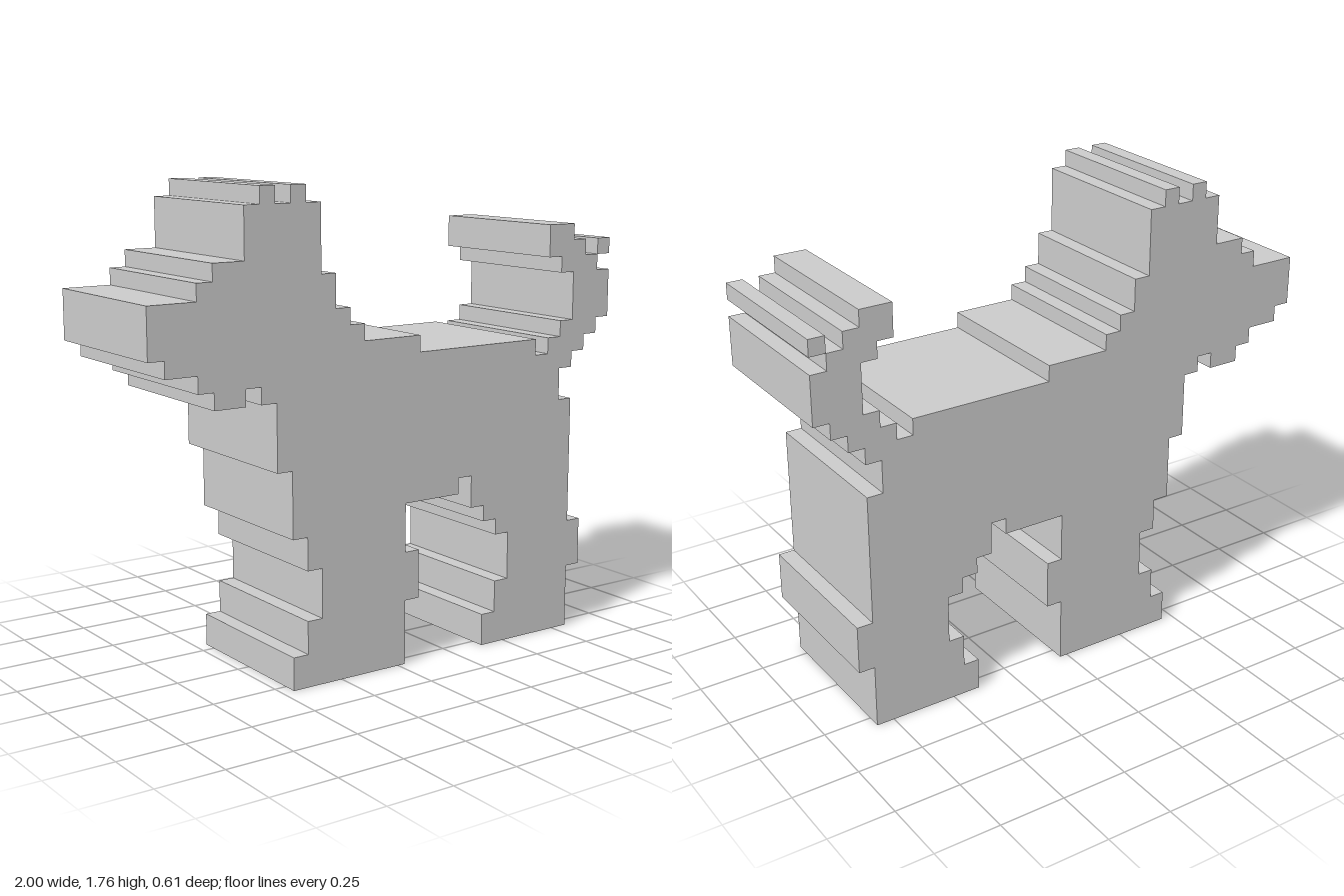
import * as THREE from 'three';

const CELL = 2 / 33;   // the figure is 33 cells long
const DEPTH = 10;      // and 10 cells thick

// Stepped side outline: each run alternates "go to row, go to column"
const START = [9, 0];
const RUNS = {
  frontLegAndChest: [2, 10, 4, 11, 7, 10, 9, 9, 13, 8, 17, 7],
  jawAndMuzzle: [18, 6, 17, 4, 18, 3, 19, 1, 20, 0, 23, 3, 24, 4, 25, 6],
  crownAndEars: [28, 7, 29, 8, 28, 9, 29, 10, 28, 11],
  neckAndBack: [24, 12, 22, 13, 21, 14, 20, 18, 19, 27],
  tailInside: [18, 28, 19, 29, 20, 30, 23, 29, 24, 28, 26, 30, 25, 31, 24, 32, 23, 33],
  tailOutside: [20, 32, 19, 31, 18, 30, 17, 29],
  hindLegBack: [15, 30, 7, 31, 4, 30, 0, 23],
  hindLegInside: [2, 24, 4, 25, 7, 24, 8, 23, 9, 22],
  belly: [11, 21, 10, 17],
  frontLegInside: [7, 18, 4, 17, 0],
};

function steppedShape() {
  let [col, row] = START;
  const points = [new THREE.Vector2(col, row)];
  Object.values(RUNS).flat().forEach((value, i) => {
    if (i % 2 === 0) row = value;
    else col = value;
    points.push(new THREE.Vector2(col, row));
  });
  return new THREE.Shape(points);
}

export function createModel() {
  const group = new THREE.Group();
  group.name = 'steppedDog';
  const material = new THREE.MeshStandardMaterial({ color: 0xcccccc, flatShading: true });

  // Moves a geometry from cells to model units, centred on x
  const add = (name, geometry) => {
    geometry.translate(-16.5, 0, 0).scale(CELL, CELL, CELL);
    const mesh = new THREE.Mesh(geometry, material);
    mesh.name = name;
    group.add(mesh);
  };

  // Head, body, legs and tail as one thick silhouette
  const body = new THREE.ExtrudeGeometry(steppedShape(), { depth: DEPTH, bevelEnabled: false });
  add('body', body.translate(0, 0, -DEPTH / 2));

  // Loose bar touching the tail only along an edge
  add('tailTuft', new THREE.BoxGeometry(1, 1, DEPTH).translate(32.5, 24.5, 0));

  return group;
}
